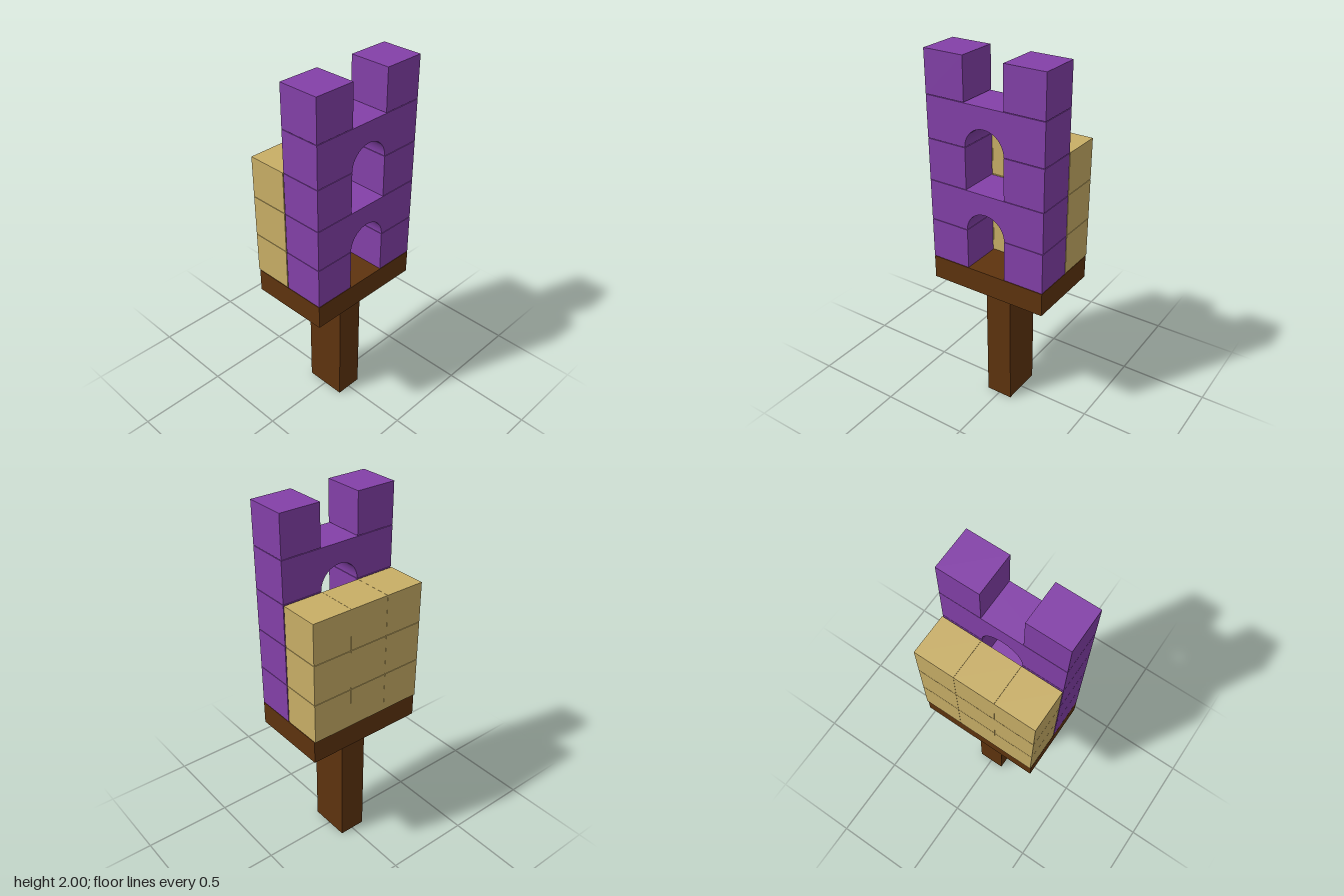
import * as THREE from 'three';

const U = 0.225;      // block edge
const BASE = 0.872;   // top of the platform
const GAP = 0.003;    // seam between stacked courses

export function createModel() {
  const model = new THREE.Group();
  model.name = 'castleOnHandle';

  const make = (name, color) => {
    const m = new THREE.MeshStandardMaterial({ color });
    m.name = name;
    return m;
  };
  const purple = make('purple', 0x8340a8);
  const tan = make('tan', 0xc8ae66);
  const brown = make('brown', 0x5e330e);

  const add = (name, geometry, material, x, y, z) => {
    const mesh = new THREE.Mesh(geometry, material);
    mesh.name = name;
    mesh.position.set(x, y, z);
    model.add(mesh);
  };

  // handle and platform
  add('handle', new THREE.BoxGeometry(0.154, 0.742, 0.236), brown, 0, 0.371, 0);
  add('platform', new THREE.BoxGeometry(3 * U, BASE - 0.742, 0.446), brown, 0, (BASE + 0.742) / 2, 0.003);

  const courseY = (i) => BASE + i * (2 - BASE) / 5;
  const height = (2 - BASE) / 5 - GAP;

  // front towers: piers on the even courses
  const pier = new THREE.BoxGeometry(U, height, U);
  for (const i of [0, 2, 4]) {
    for (const side of [-1, 1]) {
      add(i === 4 ? 'battlement' : 'pier', pier, purple, side * U, courseY(i) + GAP + height / 2, U / 2 + 0.001);
    }
  }

  // arched bridges on the odd courses
  const r = U / 2, w = 1.5 * U;
  const shape = new THREE.Shape();
  shape.moveTo(r, 0);
  shape.lineTo(w, 0);
  shape.lineTo(w, height);
  shape.lineTo(-w, height);
  shape.lineTo(-w, 0);
  shape.lineTo(-r, 0);
  shape.absarc(0, 0, r, Math.PI, 0, true);
  const arch = new THREE.ExtrudeGeometry(shape, { depth: U, bevelEnabled: false, curveSegments: 24 });
  for (const i of [1, 3]) add('archBridge', arch, purple, 0, courseY(i) + GAP, 0.001);

  // rear wall: three courses of three blocks
  const block = new THREE.BoxGeometry(U - 0.001, height, 0.223);
  for (let i = 0; i < 3; i++) {
    for (let k = -1; k <= 1; k++) {
      add('wallBlock', block, tan, k * U, courseY(i) + GAP + height / 2, -0.1165);
    }
  }
  return model;
}
